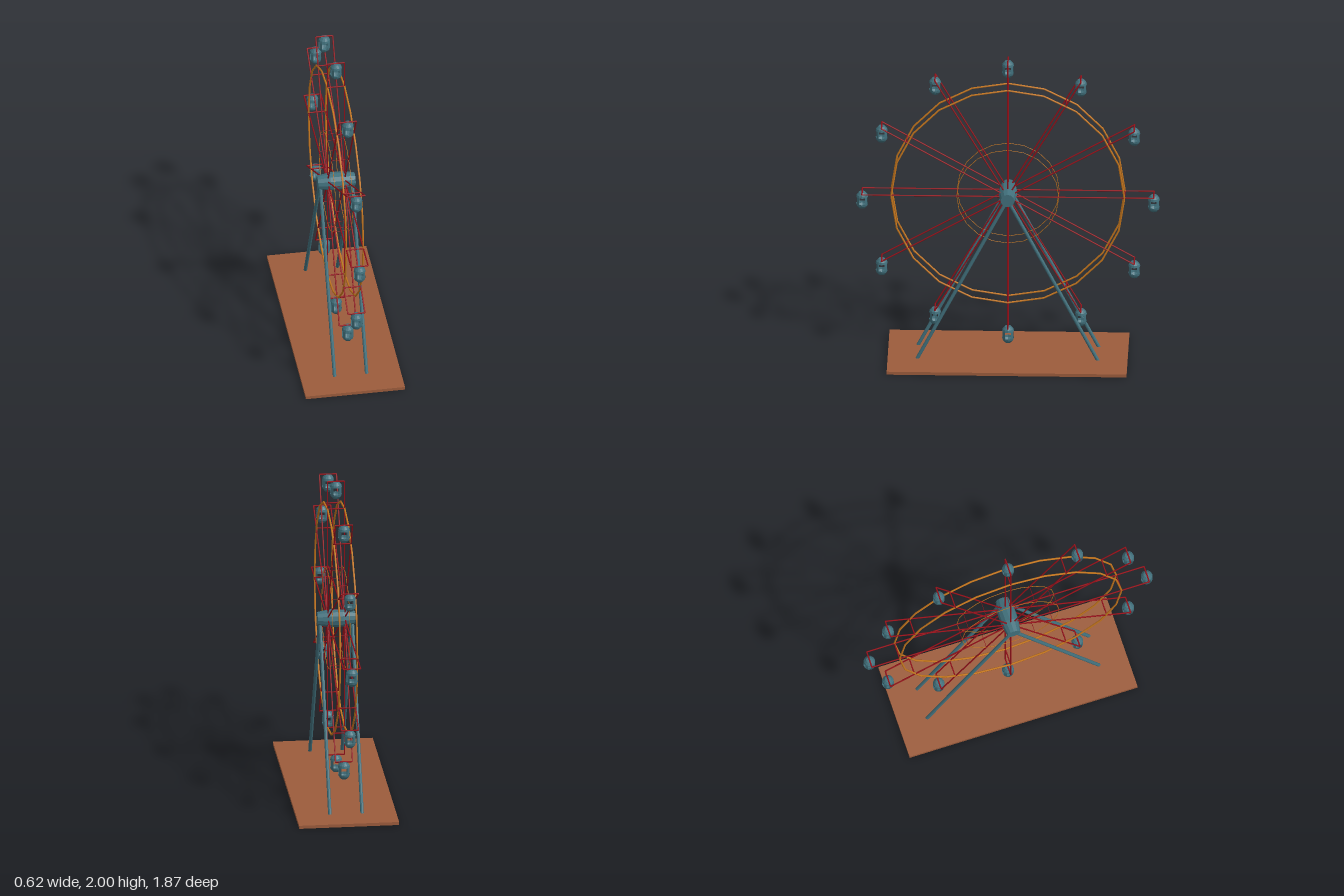
import * as THREE from 'three';

const HUB_Y = 1.1, SIDE = 0.053, SPOKES = 12, REACH = 0.9;
const material = (color, extra = {}) => new THREE.MeshStandardMaterial({ color, ...extra });

export function createModel() {
  const model = new THREE.Group();
  model.name = 'ferrisWheel';
  const teal = material(0x41707c, { flatShading: true });
  const shell = material(0x41707c, { flatShading: true, side: THREE.DoubleSide });
  const red = material(0x98101a);
  const orange = material(0xc8781e);
  const brown = material(0x9c5c3c);

  const add = (parent, name, geometry, mat) => {
    const mesh = new THREE.Mesh(geometry, mat);
    mesh.name = name;
    parent.add(mesh);
    return mesh;
  };

  // Straight round bar between two points
  const bar = (parent, name, a, b, radius, mat, sides = 6) => {
    const from = new THREE.Vector3(...a), to = new THREE.Vector3(...b);
    const dir = to.clone().sub(from);
    const mesh = add(parent, name, new THREE.CylinderGeometry(radius, radius, dir.length(), sides), mat);
    mesh.position.copy(from).add(to).multiplyScalar(0.5);
    mesh.quaternion.setFromUnitVectors(new THREE.Vector3(0, 1, 0), dir.normalize());
    return mesh;
  };

  // Base plate
  add(model, 'base', new THREE.BoxGeometry(0.62, 0.02, 1.48), brown).position.y = 0.01;

  // A-frame legs
  for (const x of [-0.1, 0.1]) {
    for (const z of [-0.56, 0.56]) bar(model, 'leg', [x, HUB_Y, 0], [x, 0.012, z], 0.011, teal, 10);
  }

  const wheel = new THREE.Group();
  wheel.name = 'wheel';
  wheel.position.y = HUB_Y;
  model.add(wheel);

  // Barrel-shaped hub along x
  const hubProfile = [[0, -0.117], [0.042, -0.117], [0.056, -0.04], [0.056, 0.04], [0.042, 0.117], [0, 0.117]];
  const hub = add(wheel, 'hub',
    new THREE.LatheGeometry(hubProfile.map(p => new THREE.Vector2(...p)), 12), teal);
  hub.rotation.z = Math.PI / 2;

  // Twenty-sided rims on both sides, thick outside and thin inside
  for (const x of [-SIDE, SIDE]) {
    for (const [name, radius, tube] of [['outerRim', 0.72, 0.006], ['innerRim', 0.315, 0.002]]) {
      const rim = add(wheel, name, new THREE.TorusGeometry(radius, tube, 6, 20), orange);
      rim.rotation.y = Math.PI / 2;
      rim.position.x = x;
    }
  }

  // Cabin pieces: closed roof and floor, with four narrow wall panels between
  const lathe = points => new THREE.LatheGeometry(points.map(p => new THREE.Vector2(...p)), 12);
  const roof = lathe([[0.037, -0.034], [0.034, -0.02], [0.02, -0.003], [0, 0]]);
  const floor = lathe([[0, -0.112], [0.02, -0.109], [0.034, -0.092], [0.037, -0.078]]);
  const panel = new THREE.CylinderGeometry(0.037, 0.037, 0.044, 1, 1, true, Math.PI / 6, Math.PI / 6);

  for (let i = 0; i < SPOKES; i++) {
    const angle = (i / SPOKES) * Math.PI * 2;
    const at = (x, r) => [x, Math.cos(angle) * r, Math.sin(angle) * r];

    // Pair of spokes with cross bars
    for (const x of [-SIDE, SIDE]) bar(wheel, 'spoke', at(x, 0), at(x, REACH), 0.0045, red);
    for (const [r, thick] of [[REACH, 0.0045], [0.72, 0.004], [0.315, 0.0015]]) {
      bar(wheel, 'crossBar', at(-SIDE, r), at(SIDE, r), thick, red);
    }

    // Cabin hanging upright from the end bar
    const cabin = new THREE.Group();
    cabin.name = 'cabin';
    cabin.position.set(...at(0, REACH));
    wheel.add(cabin);
    add(cabin, 'cabinRoof', roof, shell);
    add(cabin, 'cabinFloor', floor, shell);
    for (let k = 0; k < 4; k++) {
      const wall = add(cabin, 'cabinPanel', panel, shell);
      wall.position.y = -0.056;
      wall.rotation.y = (k * Math.PI) / 2;
    }
  }
  return model;
}
